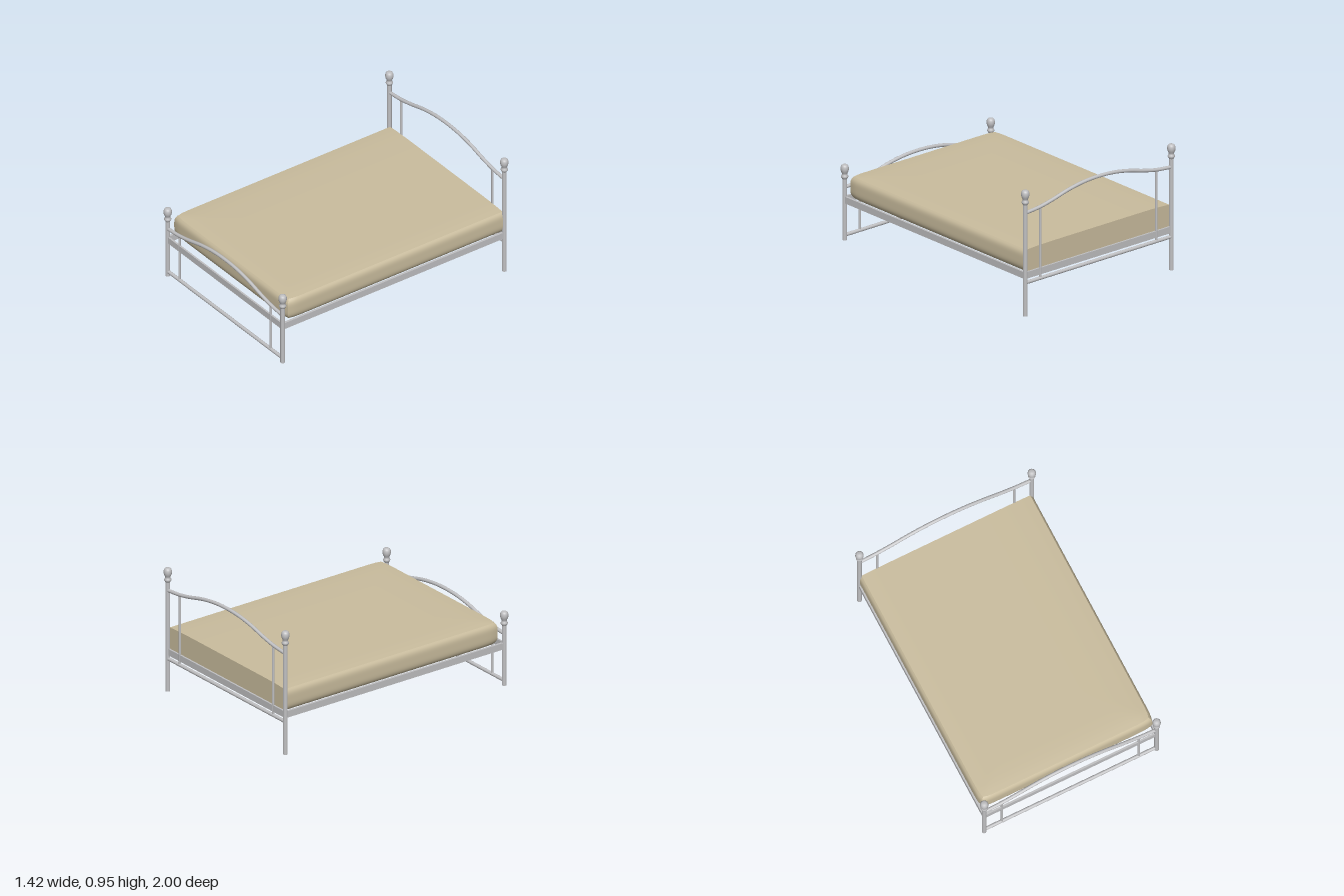
import * as THREE from 'three';

const metal = new THREE.MeshStandardMaterial({ color: 0xc0c0c2 });
metal.name = 'brushed metal';
const fabric = new THREE.MeshStandardMaterial({ color: 0xcabd9e });
fabric.name = 'beige fabric';

const POST_X = 0.68, END_Z = 0.97;

function add(parent, name, geometry, material, x = 0, y = 0, z = 0) {
  const mesh = new THREE.Mesh(geometry, material);
  mesh.name = name;
  mesh.position.set(x, y, z);
  parent.add(mesh);
  return mesh;
}

// Turned finial; heights are measured down from the tip
function finialGeometry() {
  const profile = [
    [0.015, -0.115], [0.018, -0.107], [0.025, -0.097], [0.026, -0.089], [0.021, -0.08],
    [0.018, -0.072], [0.021, -0.063], [0.027, -0.051], [0.03, -0.036], [0.029, -0.02],
    [0.024, -0.007], [0.016, -0.001], [0, 0],
  ].map(([r, y]) => new THREE.Vector2(r, y));
  return new THREE.LatheGeometry(profile, 24);
}

function endFrame(name, height, railY, z) {
  const group = new THREE.Group();
  group.name = name;
  group.position.z = z;

  // Posts, finials and slim uprights
  const postH = height - 0.1;
  const archEnd = height - 0.174;
  const uprightTop = archEnd + 0.012;
  for (const s of [-1, 1]) {
    add(group, 'post', new THREE.CylinderGeometry(0.017, 0.017, postH, 20), metal, s * POST_X, postH / 2);
    add(group, 'finial', finialGeometry(), metal, s * POST_X, height);
    add(group, 'upright', new THREE.CylinderGeometry(0.009, 0.009, uprightTop - railY, 14),
      metal, s * 0.54, (uprightTop + railY) / 2);
  }

  // Arched top rail
  const half = [[0.68, 0], [0.54, 0.014], [0.42, 0.039], [0.28, 0.075], [0.14, 0.098]];
  const points = [
    ...half.map(([x, y]) => [-x, y]), [0, 0.105],
    ...half.slice().reverse(),
  ].map(([x, y]) => new THREE.Vector3(x, archEnd + y, 0));
  add(group, 'archedRail', new THREE.TubeGeometry(new THREE.CatmullRomCurve3(points), 60, 0.013, 14), metal);

  // Straight lower rail
  const rail = add(group, 'lowerRail', new THREE.CylinderGeometry(0.013, 0.013, POST_X * 2, 16), metal, 0, railY);
  rail.rotation.z = Math.PI / 2;
  return group;
}

// Mattress with bulging sides and foot, slightly crowned top and flat head end
function mattressGeometry() {
  const w = 1.37, h = 0.17, d = 1.895;
  const g = new THREE.BoxGeometry(w, h, d, 40, 16, 48);
  const p = g.attributes.position;
  for (let i = 0; i < p.count; i++) {
    const x = p.getX(i), y = p.getY(i), z = p.getZ(i);
    const u = x / (w / 2), v = y / (h / 2), t = z / (d / 2);
    const bulge = 0.02 * Math.abs(v) ** 4;
    const corner = 0.012 * Math.max(0, t) ** 30;
    p.setX(i, x - u * (bulge + corner));
    p.setZ(i, z - Math.max(0, t) * (bulge + 0.012 * Math.abs(u) ** 20));
    if (v > 0) p.setY(i, y - v * 0.008 * Math.max(Math.abs(u) ** 8, Math.max(0, t) ** 12));
  }
  g.computeVertexNormals();
  return g;
}

export function createModel() {
  const bed = new THREE.Group();
  bed.name = 'bed';

  bed.add(endFrame('headboard', 0.95, 0.25, -END_Z));
  bed.add(endFrame('footboard', 0.57, 0.036, END_Z));

  // Flat bars carrying the mattress
  const base = new THREE.Group();
  base.name = 'baseFrame';
  for (const s of [-1, 1]) {
    add(base, 'sideBar', new THREE.BoxGeometry(0.018, 0.05, END_Z * 2), metal, s * POST_X, 0.305);
    add(base, 'crossBar', new THREE.BoxGeometry(POST_X * 2, 0.05, 0.014), metal, 0, 0.305, s * END_Z);
  }
  bed.add(base);

  add(bed, 'mattress', mattressGeometry(), fabric, 0, 0.416, -0.0175);
  return bed;
}
